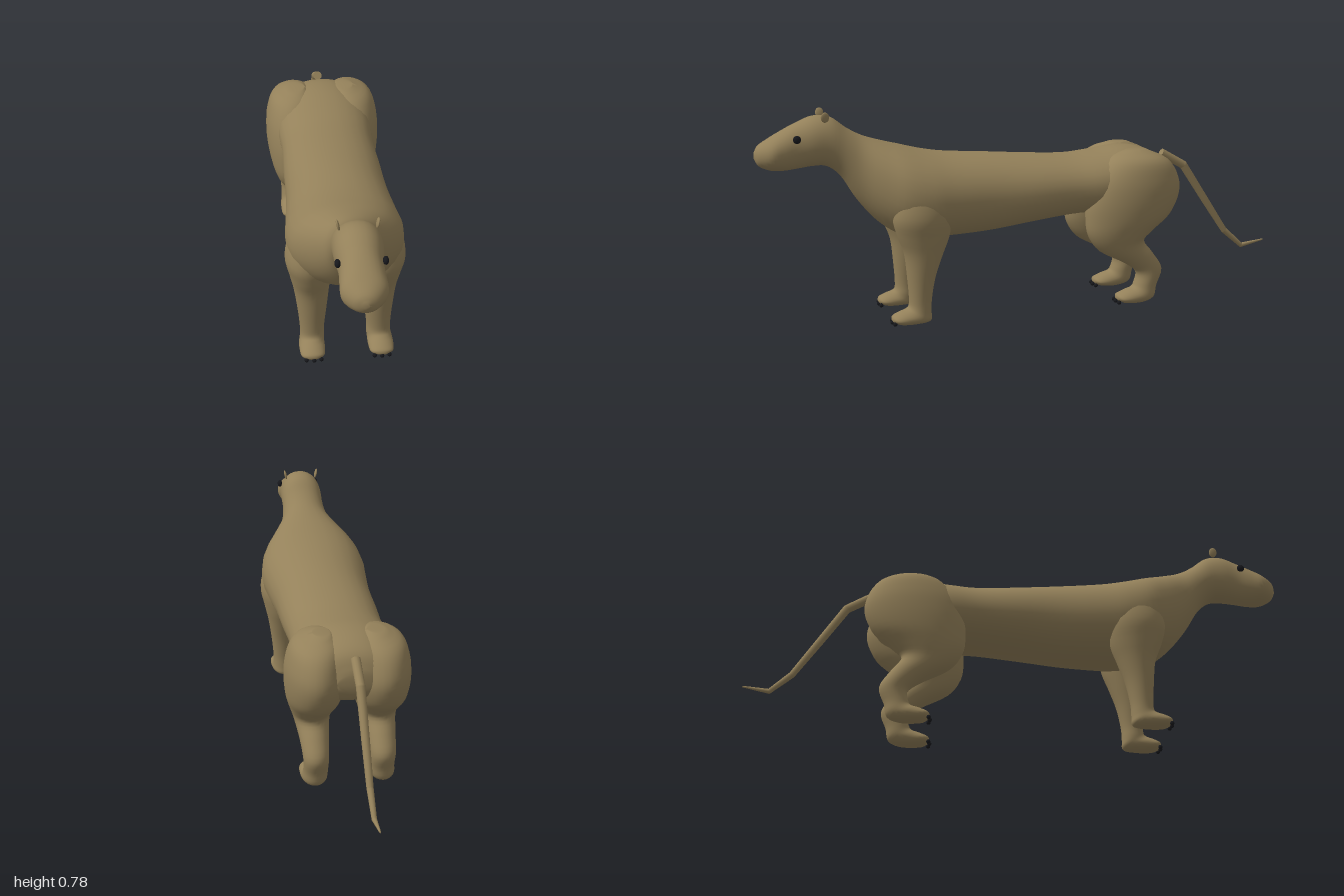
import * as THREE from 'three';

const fur = new THREE.MeshStandardMaterial({ color: 0x94815a });
fur.name = 'tan fur';
const dark = new THREE.MeshStandardMaterial({ color: 0x17181c });
dark.name = 'black';

const SIDES = 28;

// Skin over rings [zA, yA, zB, yB, xCentre, halfWidth]; A and B are opposite points of the ring.
function loft(rings, power = 1, sub = 4) {
  const curve = (k) => new THREE.CatmullRomCurve3(
    rings.map((r) => new THREE.Vector3(r[k], r[k + 1], r[k + 2])), false, 'catmullrom', 0.5);
  const first = curve(0), second = curve(3);
  const rows = (rings.length - 1) * sub;
  const pos = [], idx = [];
  const soft = (v) => Math.sign(v) * Math.pow(Math.abs(v), power);
  for (let i = 0; i <= rows; i++) {
    const p = first.getPoint(i / rows), q = second.getPoint(i / rows);
    const [zA, yA, zB, yB, xc, hx] = [p.x, p.y, p.z, q.x, q.y, Math.max(q.z, 0.001)];
    for (let j = 0; j < SIDES; j++) {
      const t = (j / SIDES) * Math.PI * 2, s = soft(Math.sin(t)) / 2;
      pos.push(xc + hx * soft(Math.cos(t)), (yA + yB) / 2 + s * (yA - yB), (zA + zB) / 2 + s * (zA - zB));
    }
  }
  for (let i = 0; i < rows; i++) {
    for (let j = 0; j < SIDES; j++) {
      const a = i * SIDES + j, b = i * SIDES + (j + 1) % SIDES;
      idx.push(a, a + SIDES, b, b, a + SIDES, b + SIDES);
    }
  }
  // close both ends
  const last = rows * SIDES;
  for (let j = 1; j < SIDES - 1; j++) {
    idx.push(0, j, j + 1, last, last + j + 1, last + j);
  }
  const g = new THREE.BufferGeometry();
  g.setAttribute('position', new THREE.Float32BufferAttribute(pos, 3));
  g.setIndex(idx);
  g.computeVertexNormals();
  return g;
}

function add(parent, name, geometry, material, x = 0, y = 0, z = 0) {
  const m = new THREE.Mesh(geometry, material);
  m.name = name;
  m.position.set(x, y, z);
  parent.add(m);
  return m;
}

// Nose to rump: A is the back line, B the belly line
const bodyRings = [
  [1.0, 0.635, 1.0, 0.615, 0, 0.008],
  [0.985, 0.66, 0.985, 0.588, 0, 0.042],
  [0.945, 0.685, 0.945, 0.571, 0, 0.073],
  [0.90, 0.71, 0.90, 0.568, 0, 0.074],
  [0.85, 0.735, 0.85, 0.573, 0, 0.072],
  [0.79, 0.757, 0.80, 0.579, 0, 0.08],
  [0.73, 0.75, 0.75, 0.576, 0, 0.082],
  [0.675, 0.71, 0.70, 0.538, 0, 0.084],
  [0.62, 0.68, 0.645, 0.45, 0, 0.102],
  [0.55, 0.657, 0.575, 0.367, 0, 0.15],
  [0.48, 0.638, 0.50, 0.315, 0, 0.193],
  [0.40, 0.617, 0.41, 0.295, 0, 0.206],
  [0.31, 0.602, 0.31, 0.296, 0, 0.198],
  [0.16, 0.591, 0.16, 0.304, 0, 0.184],
  [0.0, 0.578, 0.0, 0.325, 0, 0.18],
  [-0.15, 0.57, -0.15, 0.342, 0, 0.174],
  [-0.26, 0.578, -0.25, 0.345, 0, 0.18],
  [-0.36, 0.591, -0.35, 0.34, 0, 0.178],
  [-0.45, 0.582, -0.44, 0.345, 0, 0.165],
  [-0.51, 0.55, -0.505, 0.375, 0, 0.135],
  [-0.54, 0.49, -0.54, 0.42, 0, 0.06],
];

// Shoulder to toe: A is the back of the limb, B the front
const frontLegRings = [
  [0.38, 0.55, 0.47, 0.55, 0.11, 0.03],
  [0.34, 0.49, 0.52, 0.49, 0.118, 0.07],
  [0.325, 0.40, 0.54, 0.40, 0.128, 0.083],
  [0.335, 0.32, 0.525, 0.33, 0.124, 0.074],
  [0.36, 0.25, 0.50, 0.26, 0.12, 0.063],
  [0.387, 0.17, 0.49, 0.17, 0.119, 0.052],
  [0.402, 0.09, 0.485, 0.095, 0.12, 0.044],
  [0.404, 0.04, 0.488, 0.065, 0.12, 0.044],
  [0.408, 0.008, 0.503, 0.055, 0.123, 0.045],
  [0.46, 0.0, 0.525, 0.047, 0.124, 0.046],
  [0.515, 0.002, 0.547, 0.035, 0.124, 0.04],
  [0.545, 0.012, 0.552, 0.022, 0.124, 0.015],
];

const hindLegRings = [
  [-0.44, 0.588, -0.36, 0.588, 0.095, 0.03],
  [-0.52, 0.55, -0.29, 0.56, 0.11, 0.08],
  [-0.56, 0.485, -0.23, 0.49, 0.115, 0.1],
  [-0.565, 0.42, -0.20, 0.41, 0.115, 0.106],
  [-0.53, 0.345, -0.195, 0.335, 0.118, 0.097],
  [-0.46, 0.285, -0.205, 0.27, 0.12, 0.08],
  [-0.425, 0.245, -0.25, 0.21, 0.12, 0.064],
  [-0.46, 0.195, -0.35, 0.157, 0.12, 0.052],
  [-0.50, 0.13, -0.398, 0.118, 0.12, 0.046],
  [-0.48, 0.065, -0.392, 0.075, 0.12, 0.044],
  [-0.468, 0.018, -0.38, 0.06, 0.122, 0.045],
  [-0.42, 0.0, -0.355, 0.052, 0.124, 0.046],
  [-0.355, 0.002, -0.322, 0.037, 0.124, 0.041],
  [-0.325, 0.012, -0.316, 0.022, 0.124, 0.015],
];

// Tapered segment between two points in the middle plane
function tailSegment(parent, [z0, y0, r0], [z1, y1, r1], i) {
  const a = new THREE.Vector3(0, y0, z0), d = new THREE.Vector3(0, y1, z1).sub(a);
  const m = add(parent, 'tailSegment' + i, new THREE.CylinderGeometry(r1, r0, d.length(), 12), fur);
  m.position.copy(a).addScaledVector(d, 0.5);
  m.quaternion.setFromUnitVectors(new THREE.Vector3(0, 1, 0), d.normalize());
}

export function createModel() {
  const model = new THREE.Group();
  model.name = 'animal';
  add(model, 'bodyAndHead', loft(bodyRings, 0.95), fur);

  for (const side of [1, -1]) {
    const label = side > 0 ? 'left' : 'right';
    const limbs = [['FrontLeg', frontLegRings, 0.548], ['HindLeg', hindLegRings, -0.316]];
    for (const [name, rings, toeZ] of limbs) {
      const leg = new THREE.Group();
      leg.name = label + name;
      const placed = rings.map(([a, b, c, d, x, w]) => [a, b, c, d, x * side, w]);
      add(leg, 'limb', loft(placed), fur);
      // three claws on each foot
      for (const [k, x] of [0.096, 0.122, 0.149].entries()) {
        add(leg, 'claw', new THREE.SphereGeometry(0.008, 10, 8), dark, side * x, 0.011, toeZ - (k === 1 ? 0 : 0.004));
      }
      model.add(leg);
    }

    // eye and small upright ear
    const eye = add(model, label + 'Eye', new THREE.SphereGeometry(0.014, 16, 12), dark, side * 0.075, 0.686, 0.858);
    eye.scale.x = 0.7;
    const ear = add(model, label + 'Ear', new THREE.SphereGeometry(1, 14, 10), fur, side * 0.063, 0.757, 0.757);
    ear.scale.set(0.005, 0.019, 0.015);
    ear.rotation.z = -side * 0.22;
  }

  // Hanging tail with a kicked-out tip
  const tail = new THREE.Group();
  tail.name = 'tail';
  const joints = [
    [-0.545, 0.55, 0.017], [-0.64, 0.497, 0.016], [-0.735, 0.355, 0.0145],
    [-0.825, 0.222, 0.012], [-0.903, 0.154, 0.009], [-1.0, 0.17, 0.003],
  ];
  for (let i = 0; i < joints.length - 1; i++) {
    tailSegment(tail, joints[i], joints[i + 1], i + 1);
    if (i) add(tail, 'tailJoint', new THREE.SphereGeometry(joints[i][2], 12, 8), fur, 0, joints[i][1], joints[i][0]);
  }
  model.add(tail);
  return model;
}
